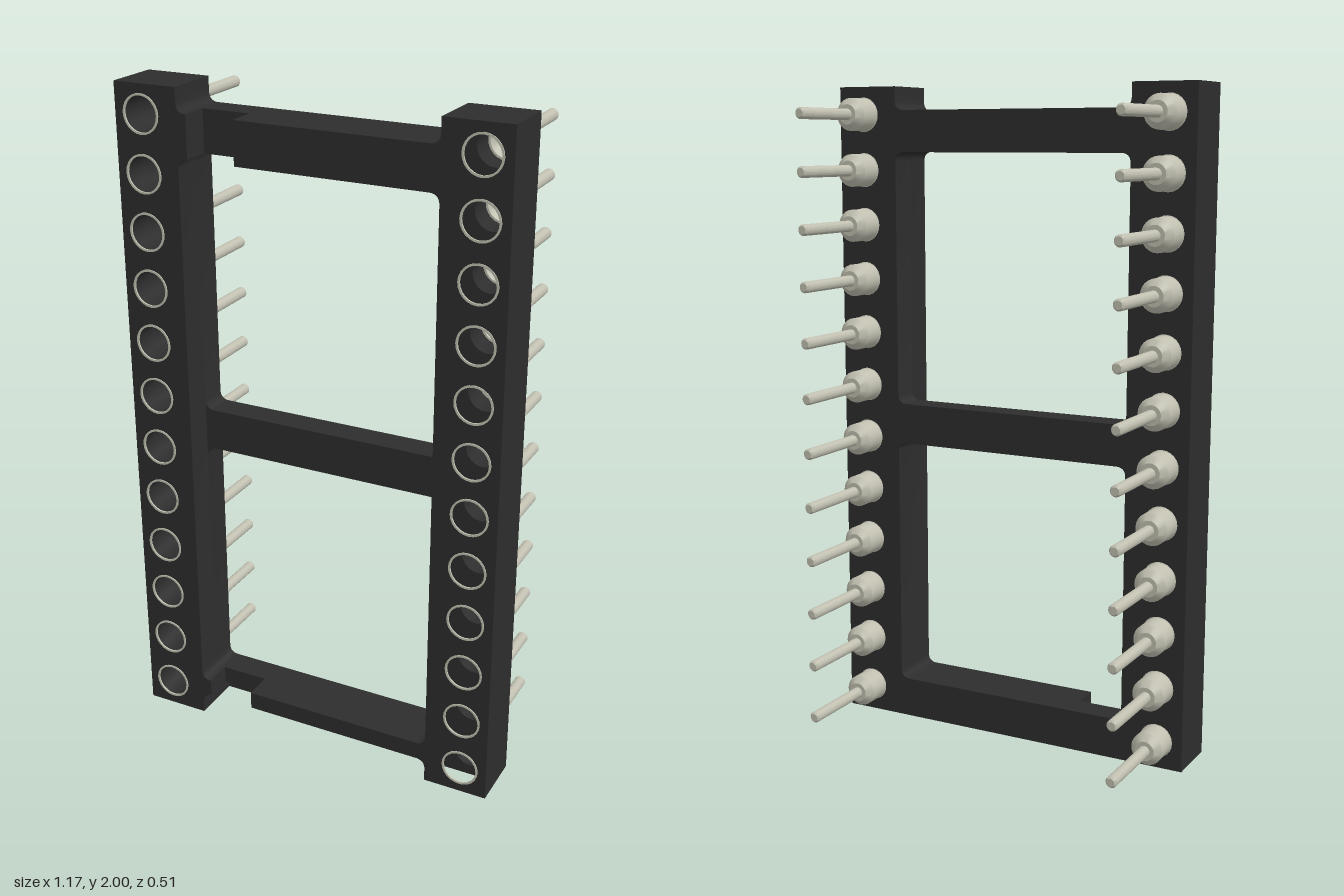
import * as THREE from 'three';
import { toCreasedNormals } from 'three/addons/utils/BufferGeometryUtils.js';

const INNER = 0.387, OUTER = 0.583, R = 0.03, HOLE = 0.052;
const PIN_X = 0.5, ROWS = 12, PITCH = 2 / ROWS;
const rowY = (i) => PITCH * (i + 0.5);

// Pin holes for the rails on the given sides
function addHoles(shape, sides) {
  for (const s of sides) for (let i = 0; i < ROWS; i++) {
    const h = new THREE.Path();
    h.absarc(s * PIN_X, rowY(i), HOLE, 0, Math.PI * 2, true);
    shape.holes.push(h);
  }
}

// Rounded window between the rails
function windowPath(y0, y1) {
  const p = new THREE.Path(), x = INNER;
  p.moveTo(-x + R, y0);
  p.lineTo(x - R, y0);
  p.quadraticCurveTo(x, y0, x, y0 + R);
  p.lineTo(x, y1 - R);
  p.quadraticCurveTo(x, y1, x - R, y1);
  p.lineTo(-x + R, y1);
  p.quadraticCurveTo(-x, y1, -x, y1 - R);
  p.lineTo(-x, y0 + R);
  p.quadraticCurveTo(-x, y0, -x + R, y0);
  return p;
}

// Whole frame, notched at the top and, if asked, at the bottom
function frameShape(bottomNotch) {
  const s = new THREE.Shape();
  s.moveTo(-OUTER, 0);
  if (bottomNotch) {
    s.lineTo(-INNER, 0);
    s.lineTo(-INNER, 0.07 - R);
    s.quadraticCurveTo(-INNER, 0.07, -INNER + R, 0.07);
    s.lineTo(INNER - R, 0.07);
    s.quadraticCurveTo(INNER, 0.07, INNER, 0.07 - R);
    s.lineTo(INNER, 0);
  }
  s.lineTo(OUTER, 0);
  s.lineTo(OUTER, 2);
  s.lineTo(INNER, 2);
  s.lineTo(INNER, 1.93 + R);
  s.quadraticCurveTo(INNER, 1.93, INNER - R, 1.93);
  s.lineTo(-INNER + R, 1.93);
  s.quadraticCurveTo(-INNER, 1.93, -INNER, 1.93 + R);
  s.lineTo(-INNER, 2);
  s.lineTo(-OUTER, 2);
  s.closePath();
  s.holes.push(windowPath(0.125, 0.905), windowPath(1.03, 1.805));
  addHoles(s, [-1, 1]);
  return s;
}

// One rail with the end bars reaching to x = end
function railShape(side, end) {
  const s = new THREE.Shape(), a = side * INNER, b = side * (INNER - R);
  s.moveTo(side * OUTER, 0);
  s.lineTo(a, 0);
  s.lineTo(a, 0.07 - R);
  s.quadraticCurveTo(a, 0.07, b, 0.07);
  s.lineTo(end, 0.07);
  s.lineTo(end, 0.125);
  s.lineTo(b, 0.125);
  s.quadraticCurveTo(a, 0.125, a, 0.125 + R);
  s.lineTo(a, 1.805 - R);
  s.quadraticCurveTo(a, 1.805, b, 1.805);
  s.lineTo(end, 1.805);
  s.lineTo(end, 1.93);
  s.lineTo(b, 1.93);
  s.quadraticCurveTo(a, 1.93, a, 1.93 + R);
  s.lineTo(a, 2);
  s.lineTo(side * OUTER, 2);
  s.closePath();
  addHoles(s, [side]);
  return s;
}

// Turned part around the z axis from [radius, z] points
function turned(points) {
  const g = new THREE.LatheGeometry(points.map(([r, z]) => new THREE.Vector2(r, z)), 24);
  g.rotateX(Math.PI / 2);
  return toCreasedNormals(g, 0.5);
}

export function createModel() {
  const group = new THREE.Group();
  const plastic = new THREE.MeshStandardMaterial({ color: 0x2d2d2d });
  plastic.name = 'blackPlastic';
  const metal = new THREE.MeshStandardMaterial({ color: 0xc0bfb0 });
  metal.name = 'paleMetal';

  const add = (name, geometry, material, x = 0, y = 0) => {
    const m = new THREE.Mesh(geometry, material);
    m.name = name;
    m.position.set(x, y, 0);
    group.add(m);
  };
  const slab = (name, shape, z0, z1) => {
    const g = new THREE.ExtrudeGeometry(shape, { depth: z1 - z0, bevelEnabled: false, curveSegments: 12 });
    g.translate(0, 0, z0);
    add(name, toCreasedNormals(g, 0.6), plastic);
  };

  // Body: back layers with the middle bar, front layer with gapped end bars
  slab('backFrame', frameShape(false), 0.08, 0.095);
  slab('middleFrame', frameShape(true), 0.095, 0.165);
  slab('leftFrontRail', railShape(1, -0.21), 0.165, 0.252);
  slab('rightFrontRail', railShape(-1, -0.357), 0.165, 0.252);

  // Pins with a stepped socket inside, and a thin rim around each hole
  const pin = turned([
    [0, -0.255], [0.012, -0.255], [0.017, -0.249], [0.017, -0.01], [0.03, -0.01],
    [0.049, 0.01], [0.049, 0.08], [HOLE, 0.082], [HOLE, 0.09], [0.046, 0.09],
    [0.034, 0.06], [0.022, 0.055], [0.018, 0.01], [0, 0.01],
  ]);
  const rim = turned([[0.057, 0.25], [0.057, 0.255], [0.051, 0.255], [0.051, 0.25]]);
  for (const side of [-1, 1]) for (let i = 0; i < ROWS; i++) {
    add('pin', pin, metal, side * PIN_X, rowY(i));
    add('pinRim', rim, metal, side * PIN_X, rowY(i));
  }
  return group;
}
